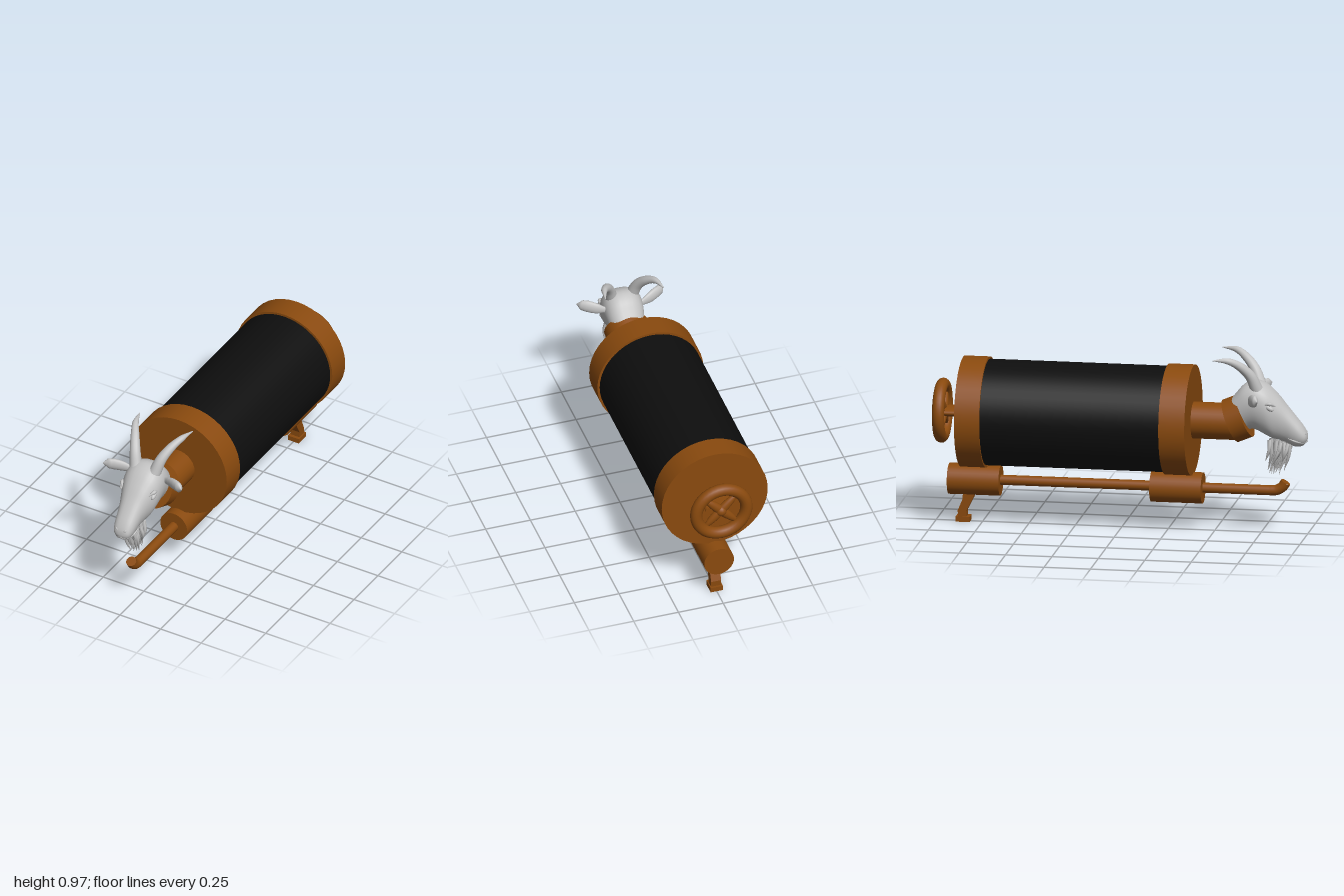
import * as THREE from 'three';
import { mergeVertices, mergeGeometries } from 'three/addons/utils/BufferGeometryUtils.js';

const V = (x, y, z) => new THREE.Vector3(x, y, z);
const material = (name, color) => Object.assign(new THREE.MeshStandardMaterial({ color }), { name });

// Cylinder lying along z between two depths
function rod(r, z0, z1, y, sides = 40) {
  return new THREE.CylinderGeometry(r, r, z1 - z0, sides).rotateX(Math.PI / 2).translate(0, y, (z0 + z1) / 2);
}

// Remove seams and smooth the normals
function smooth(geo) {
  geo.deleteAttribute('uv');
  geo.deleteAttribute('normal');
  const g = mergeVertices(geo, 1e-5);
  g.computeVertexNormals();
  return g;
}

// Tube whose radius follows a list of values; flat squeezes it along z
function taper(points, radii, segs = 16, sides = 12, flat = 1) {
  const curve = new THREE.CatmullRomCurve3(points);
  const geo = new THREE.TubeGeometry(curve, segs, 1, sides);
  const pos = geo.attributes.position, v = V(0, 0, 0);
  for (let i = 0; i <= segs; i++) {
    const c = curve.getPointAt(i / segs);
    const f = (i / segs) * (radii.length - 1), k = Math.min(Math.floor(f), radii.length - 2);
    const r = THREE.MathUtils.lerp(radii[k], radii[k + 1], f - k);
    for (let j = 0; j <= sides; j++) {
      const n = i * (sides + 1) + j;
      v.fromBufferAttribute(pos, n).sub(c).multiplyScalar(r);
      v.z *= flat;
      v.add(c);
      pos.setXYZ(n, v.x, v.y, v.z);
    }
  }
  return smooth(geo);
}

// Head lofted along top line, underside line and half width
function headGeometry() {
  // top z, top y, bottom z, bottom y, half width
  const rows = [
    [0.57, 0.70, 0.65, 0.53, 0.085], [0.615, 0.755, 0.70, 0.565, 0.098],
    [0.66, 0.805, 0.73, 0.56, 0.106], [0.715, 0.828, 0.77, 0.54, 0.111],
    [0.775, 0.81, 0.81, 0.52, 0.107], [0.84, 0.752, 0.85, 0.51, 0.086],
    [0.89, 0.692, 0.885, 0.498, 0.07], [0.94, 0.632, 0.915, 0.482, 0.062],
    [0.975, 0.588, 0.945, 0.475, 0.056], [0.995, 0.553, 0.975, 0.482, 0.044],
    [1.0, 0.53, 0.992, 0.498, 0.025], [1.0, 0.516, 1.0, 0.513, 0.001],
  ];
  const top = new THREE.CatmullRomCurve3(rows.map(r => V(r[4], r[1], r[0])));
  const low = new THREE.CatmullRomCurve3(rows.map(r => V(0, r[3], r[2])));
  const rings = 44, sides = 32, pos = [], index = [];
  for (let i = 0; i <= rings; i++) {
    const T = top.getPoint(i / rings), B = low.getPoint(i / rings);
    for (let j = 0; j < sides; j++) {
      const a = (j / sides) * Math.PI * 2, s = Math.sin(a), t = (1 - Math.cos(a)) / 2;
      const x = Math.max(T.x, 0.001) * Math.sign(s) * Math.abs(s) ** 0.8 * (1.13 - 0.3 * t);
      pos.push(x, THREE.MathUtils.lerp(T.y, B.y, t), THREE.MathUtils.lerp(T.z, B.z, t));
      if (i === rings) continue;
      const A = i * sides + j, C = i * sides + (j + 1) % sides;
      index.push(A, A + sides, C, C, A + sides, C + sides);
    }
  }
  const geo = new THREE.BufferGeometry();
  geo.setAttribute('position', new THREE.Float32BufferAttribute(pos, 3));
  geo.setIndex(index);
  geo.computeVertexNormals();
  return geo;
}

export function createModel() {
  const brown = material('brown', 0x8a4a0e), black = material('black', 0x0e0e0e), grey = material('grey', 0xc2c2c2);
  const model = new THREE.Group();
  model.name = 'goatHeadedBarrel';
  const add = (name, geo, mat, parent = model) => {
    const mesh = new THREE.Mesh(geo, mat);
    mesh.name = name;
    parent.add(mesh);
    return mesh;
  };
  const axis = 0.597;

  // Barrel, end caps and neck
  add('barrel', rod(0.283, -0.73, 0.26, axis, 48), black);
  add('frontCap', rod(0.296, 0.245, 0.385, axis), brown);
  add('rearCap', rod(0.296, -0.855, -0.72, axis), brown);
  add('neck', rod(0.098, 0.38, 0.63, axis, 32), brown);
  add('collar', rod(0.12, -0.043, 0.043, 0, 32).rotateX(-0.39).translate(0, 0.617, 0.625), brown);

  // Hand wheel on the rear cap
  const wheel = new THREE.Group();
  wheel.name = 'handWheel';
  wheel.position.set(0, axis, 0);
  model.add(wheel);
  add('wheelPlate', rod(0.07, -0.868, -0.85, 0, 24), brown, wheel);
  add('wheelStem', rod(0.08, -0.945, -0.85, 0, 24).scale(1, 0.33, 1), brown, wheel);
  add('wheelRim', new THREE.TorusGeometry(0.14, 0.033, 16, 40).translate(0, 0, -0.967), brown, wheel);
  for (const side of [-1, 1])
    add('wheelSpoke', new THREE.SphereGeometry(1, 20, 12).scale(0.13, 0.026, 0.022)
      .rotateZ(side * Math.PI / 4).translate(0, 0, -0.96), brown, wheel);
  add('wheelHub', new THREE.SphereGeometry(0.032, 16, 12).translate(0, 0, -0.96), brown, wheel);

  // Lower rail with its sleeves and upturned tip
  add('rail', rod(0.027, -0.7, 0.8, 0.23, 20), brown);
  add('frontSleeve', rod(0.083, 0.16, 0.437, 0.228, 32), brown);
  add('rearSleeve', rod(0.083, -0.93, -0.652, 0.228, 32), brown);
  const bend = new THREE.CatmullRomCurve3([V(0, 0.23, 0.8), V(0, 0.234, 0.835), V(0, 0.253, 0.865), V(0, 0.278, 0.882)]);
  add('railTip', new THREE.TubeGeometry(bend, 14, 0.028, 20), brown);
  add('railTipEnd', new THREE.CircleGeometry(0.028, 20).rotateX(-1.0).translate(0, 0.278, 0.882), brown);

  // Rear leg and foot
  const legSide = new THREE.Shape([[-0.85, 0.17], [-0.785, 0.17], [-0.8, 0.125], [-0.833, 0.06], [-0.833, 0.02],
    [-0.878, 0.02], [-0.88, 0.06], [-0.855, 0.12]].reverse().map(p => new THREE.Vector2(...p)));
  add('leg', new THREE.ExtrudeGeometry(legSide, { depth: 0.056, bevelEnabled: false })
    .translate(0, 0, -0.028).rotateY(-Math.PI / 2), brown);
  add('foot', new THREE.BoxGeometry(0.068, 0.028, 0.075).translate(0, 0.014, -0.853), brown);

  // Goat head
  const head = new THREE.Group();
  head.name = 'goatHead';
  model.add(head);
  add('skull', headGeometry(), grey, head);
  for (const s of [-1, 1]) {
    add('horn', taper([V(s * 0.058, 0.79, 0.735), V(s * 0.08, 0.865, 0.705), V(s * 0.11, 0.922, 0.655),
      V(s * 0.142, 0.957, 0.595), V(s * 0.163, 0.962, 0.515)], [0.034, 0.029, 0.024, 0.017, 0.002], 28, 16), grey, head);
    add('ear', taper([V(s * 0.085, 0.732, 0.70), V(s * 0.14, 0.745, 0.715), V(s * 0.19, 0.757, 0.738),
      V(s * 0.242, 0.764, 0.768)], [0.014, 0.02, 0.029, 0.033, 0.034, 0.03, 0.002], 24, 16, 0.45), grey, head);
    const lid = new THREE.SphereGeometry(1, 16, 10).scale(0.012, 0.013, 0.024).rotateX(0.5);
    add('eye', lid.translate(s * 0.096, 0.697, 0.81), grey, head);
    add('brow', taper([V(s * 0.1, 0.712, 0.775), V(s * 0.1, 0.722, 0.805), V(s * 0.08, 0.708, 0.842)],
      [0.001, 0.011, 0.001], 12, 8), grey, head);
    add('nostril', taper([V(s * 0.012, 0.535, 0.994), V(s * 0.026, 0.552, 0.988), V(s * 0.042, 0.548, 0.97)],
      [0.001, 0.008, 0.001], 10, 8), grey, head);
    add('lip', taper([V(0, 0.507, 0.996), V(s * 0.03, 0.502, 0.98), V(s * 0.05, 0.512, 0.94), V(s * 0.058, 0.53, 0.90)],
      [0.006, 0.007, 0.006, 0.001], 14, 8), grey, head);
  }

  // Beard of hanging tufts
  let seed = 7;
  const rand = () => (seed = (seed * 16807) % 2147483647) / 2147483647;
  const tufts = [];
  for (let i = 0; i < 46; i++) {
    const x = (rand() - 0.5) * 0.1, u = rand(), z = 0.785 + u * 0.125;
    const centre = 1 - Math.abs(x) / 0.06;
    const drop = 0.07 + 0.1 * centre * (1 - 0.5 * u) + 0.03 * rand();
    const tipX = x * 0.6 + (rand() - 0.5) * 0.04, tipZ = 0.815 + (z - 0.83) * 0.5 + (rand() - 0.5) * 0.05;
    const y = 0.515 - u * 0.02;
    tufts.push(taper([V(x * 0.8, y, z), V(x * 1.1, y - drop * 0.5, z * 0.6 + tipZ * 0.4 + 0.008),
      V(tipX, y - drop - 0.02, tipZ)], [0.011, 0.01, 0.007, 0.001], 8, 6));
  }
  add('beard', mergeGeometries(tufts), grey, head);
  return model;
}
